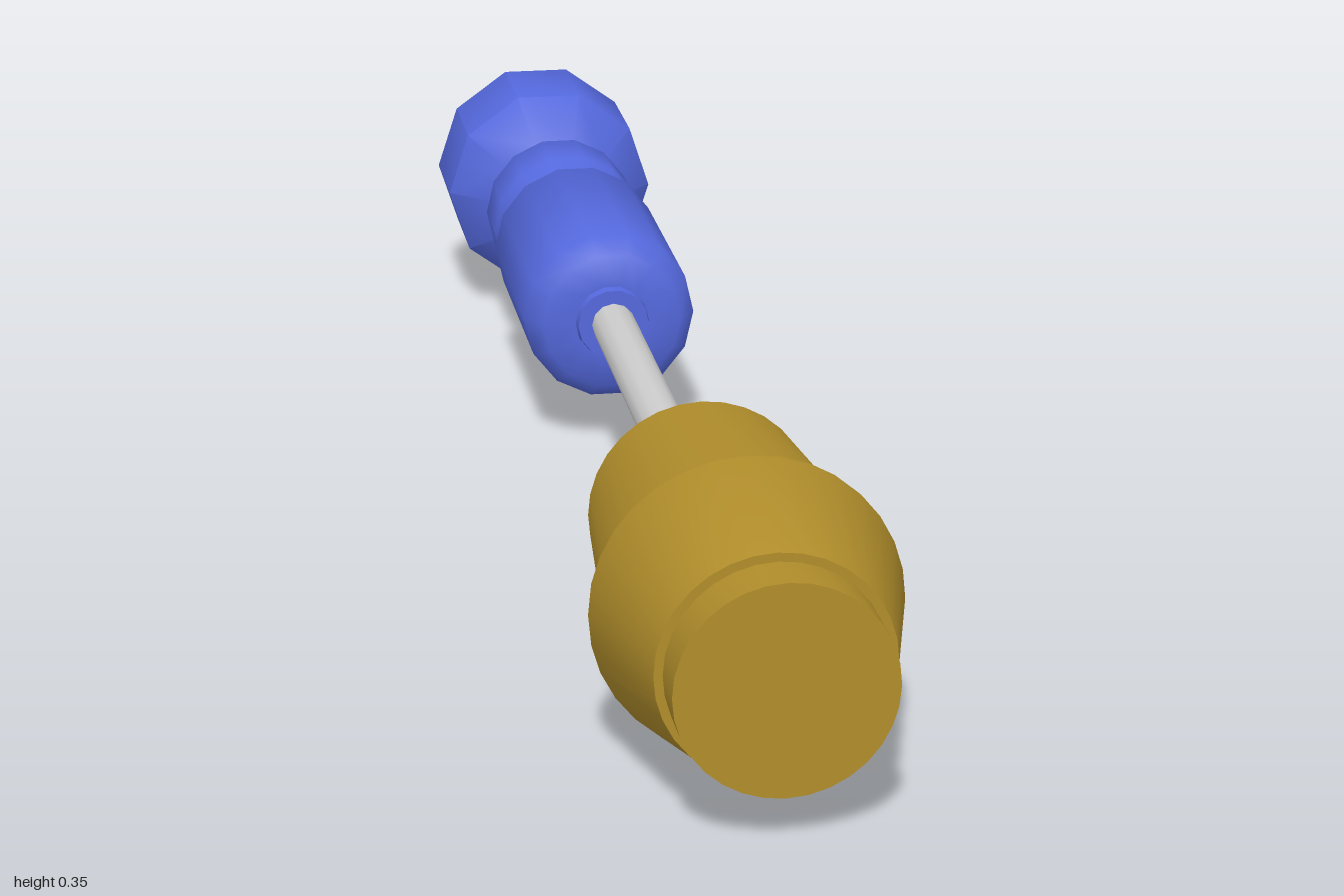
import * as THREE from 'three';
import { toCreasedNormals } from 'three/addons/utils/BufferGeometryUtils.js';

const AXIS_Y = 0.175;

// Turned part along z; profile holds [z, radius] pairs from back to front
function turned(name, profile, sides, color, crease) {
  const pts = profile.map(([z, r]) => new THREE.Vector2(r, z));
  let geo = new THREE.LatheGeometry(pts, sides, Math.PI / 2);
  geo.rotateX(Math.PI / 2);
  if (crease) geo = toCreasedNormals(geo, crease);
  const mesh = new THREE.Mesh(geo, new THREE.MeshStandardMaterial({ color }));
  mesh.name = name;
  mesh.position.y = AXIS_Y;
  return mesh;
}

export function createModel() {
  const group = new THREE.Group();
  group.name = 'screwInTool';
  const brass = 0xb08d2b, blue = 0x5468dc, grey = 0xcccccc;

  // Brass head: tapered sleeve, flared shoulder and short nose
  group.add(turned('brassHead', [
    [0.465, 0], [0.465, 0.131], [0.755, 0.156], [0.757, 0.173], [0.767, 0.1745],
    [0.94, 0.131], [0.94, 0.121], [1, 0.121], [1, 0],
  ], 32, brass, 0.45));

  // Shaft with a slimmer tip entering the head
  group.add(turned('shaft', [
    [-0.25, 0], [-0.25, 0.028], [0.365, 0.028], [0.38, 0.024], [0.48, 0.024], [0.48, 0],
  ], 12, grey, 0.7));

  // Handle grip with a grooved ring and front collar
  group.add(turned('handleGrip', [
    [-0.8, 0], [-0.8, 0.083], [-0.755, 0.083], [-0.73, 0.102], [-0.64, 0.102],
    [-0.62, 0.085], [-0.59, 0.085], [-0.56, 0.111], [-0.25, 0.111],
    [-0.226, 0.09], [-0.224, 0.048], [-0.212, 0.046], [-0.212, 0],
  ], 14, blue, 0.95));

  // Ten-sided end knob with chamfered rims
  group.add(turned('endKnob', [
    [-1, 0], [-1, 0.118], [-0.972, 0.143], [-0.83, 0.143], [-0.775, 0.085], [-0.775, 0],
  ], 10, blue, 0.9));

  return group;
}
